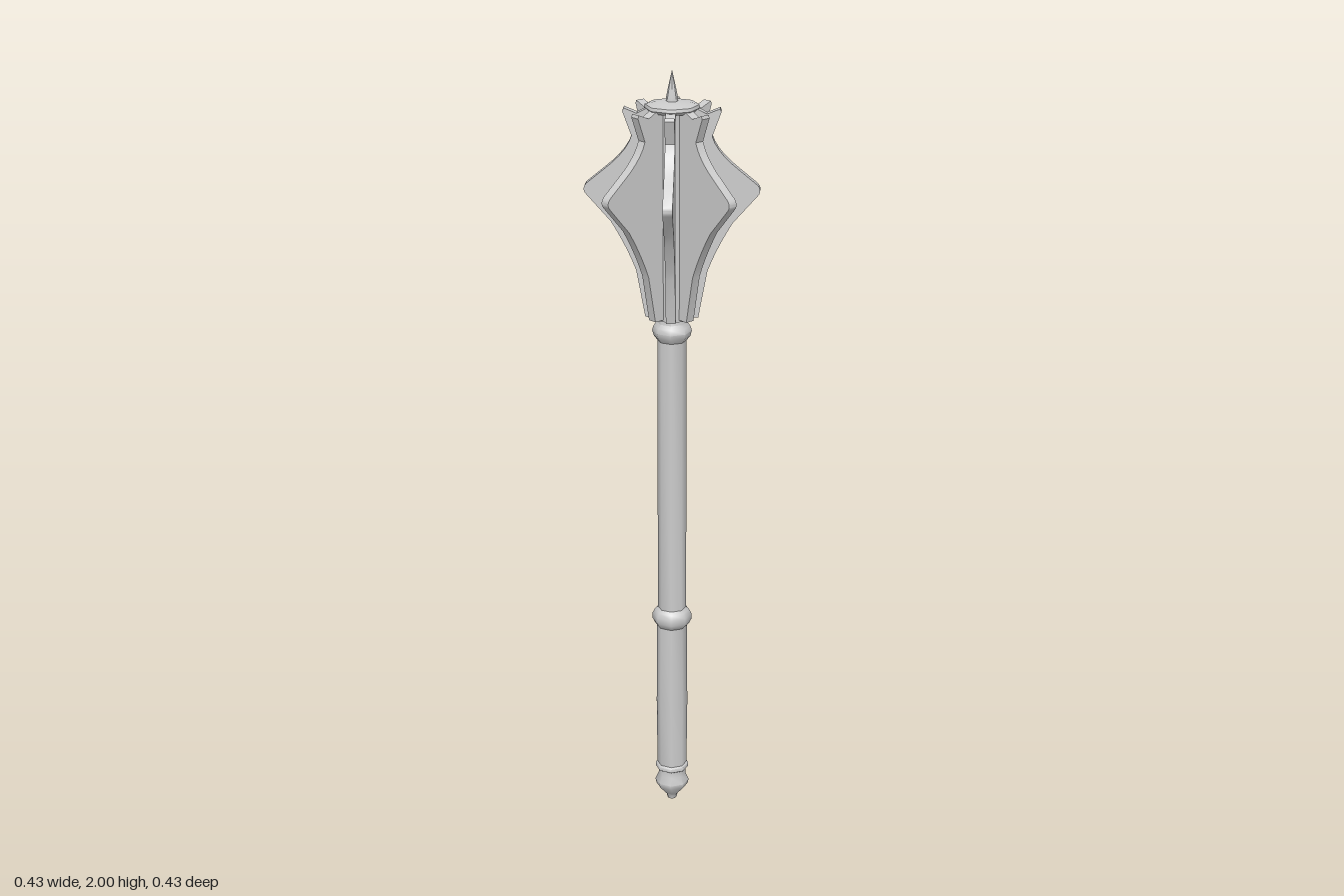
import * as THREE from 'three';
import { toCreasedNormals } from 'three/addons/utils/BufferGeometryUtils.js';

const SIDES = 8;
const FLANGES = 8;
const THICKNESS = 0.024;

export function createModel() {
  const model = new THREE.Group();
  const material = new THREE.MeshStandardMaterial({ color: 0xcccccc });

  // Turned part from [radius, height] pairs, bottom to top
  function turned(name, profile, crease = 0.55) {
    const points = profile.map(([r, y]) => new THREE.Vector2(r, y));
    const geometry = toCreasedNormals(new THREE.LatheGeometry(points, SIDES), Math.max(crease, 0.9));
    const mesh = new THREE.Mesh(geometry, material);
    mesh.name = name;
    model.add(mesh);
  }

  // Handle, from the pommel up
  turned('pommel', [
    [0, 0], [0.012, 0.004], [0.015, 0.016], [0.02, 0.022], [0.042, 0.047],
    [0.045, 0.06], [0.036, 0.08], [0.036, 0.096], [0.044, 0.101],
    [0.044, 0.111], [0.036, 0.117], [0, 0.117],
  ]);
  turned('grip', [[0.039, 0.11], [0.041, 0.3], [0.039, 0.53]]);
  turned('gripCollar', [
    [0.036, 0.522], [0.045, 0.53], [0.051, 0.542], [0.051, 0.558], [0.045, 0.57], [0.036, 0.578],
  ]);
  turned('shaft', [[0.037, 0.55], [0.037, 1.36]]);
  turned('headCollar', [
    [0.036, 1.315], [0.046, 1.328], [0.05, 1.342], [0.046, 1.355], [0.038, 1.364], [0.038, 1.385],
  ]);

  // Head core, cap and spike
  turned('headCore', [[0, 1.375], [0.045, 1.375], [0.045, 1.91]]);
  turned('headCap', [[0, 1.9], [0.06, 1.9], [0.068, 1.908], [0.066, 1.916], [0.04, 1.922], [0, 1.925]]);
  turned('topSpike', [[0.015, 1.918], [0.014, 1.935], [0.009, 1.96], [0, 2]]);

  // Flange outline: blunt point, concave shoulders, small horn at the top
  const shape = new THREE.Shape();
  shape.moveTo(0.02, 1.38);
  shape.lineTo(0.066, 1.38);
  shape.lineTo(0.088, 1.5);
  shape.quadraticCurveTo(0.11, 1.56, 0.15, 1.625);
  shape.lineTo(0.21, 1.693);
  shape.quadraticCurveTo(0.222, 1.706, 0.21, 1.72);
  shape.lineTo(0.165, 1.757);
  shape.quadraticCurveTo(0.11, 1.8, 0.098, 1.84);
  shape.lineTo(0.12, 1.9);
  shape.lineTo(0.117, 1.908);
  shape.lineTo(0.085, 1.895);
  shape.lineTo(0.06, 1.908);
  shape.lineTo(0.02, 1.908);
  shape.closePath();

  const flangeGeometry = toCreasedNormals(
    new THREE.ExtrudeGeometry(shape, { depth: THICKNESS, bevelEnabled: false, curveSegments: 5 })
      .translate(0, 0, -THICKNESS / 2),
    0.6,
  );

  // Flanges around the head
  const flanges = new THREE.Group();
  flanges.name = 'flanges';
  for (let i = 0; i < FLANGES; i++) {
    const flange = new THREE.Mesh(flangeGeometry, material);
    flange.name = 'flange' + (i + 1);
    flange.rotation.y = (i / FLANGES) * Math.PI * 2;
    flanges.add(flange);
  }
  model.add(flanges);

  return model;
}
